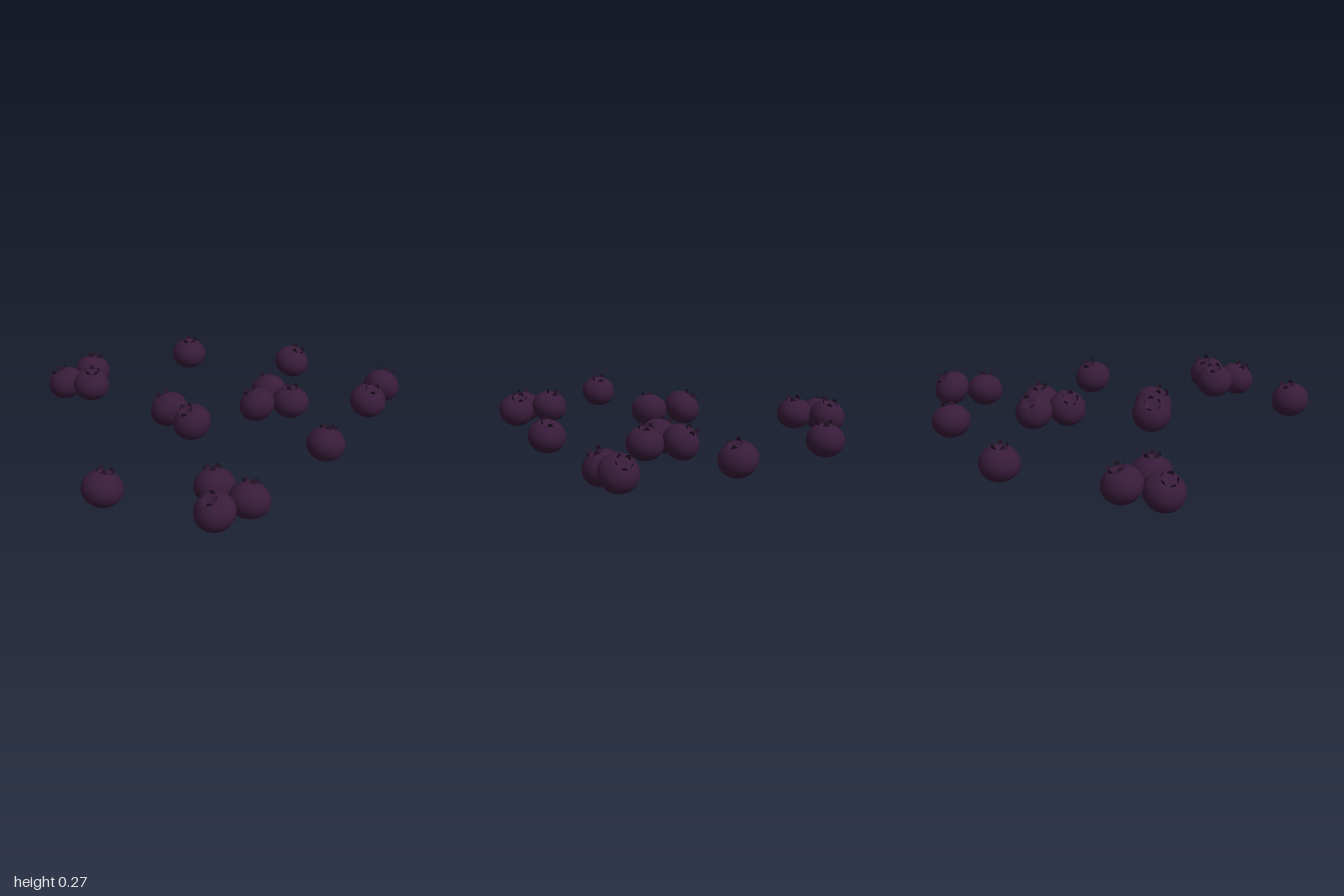
import * as THREE from 'three';

// x, y, z of each berry, then the sideways lean (x, z) of its crown
const BERRIES = [
  [-0.76, 0.09, -0.78, -0.4, -0.3],
  [-0.59, 0.115, -0.85, 0.25, -0.2],
  [-0.64, 0.11, -0.66, 0.05, 0.1],
  [0.01, 0.12, -0.9, 0, 0],
  [0.53, 0.13, -0.55, 0.3, 0.2],
  [0.25, 0.125, -0.21, 0, -0.7],
  [0.13, 0.12, -0.07, -0.45, -0.4],
  [0.31, 0.12, -0.04, 0.05, -0.1],
  [-0.36, 0.17, -0.07, -0.3, -0.55],
  [-0.29, 0.16, 0.1, -0.45, 0.1],
  [0.87, 0.12, -0.07, 0.5, -0.45],
  [0.73, 0.1, 0.05, 0.15, 0.35],
  [0.28, 0.12, 0.49, 0.25, -0.25],
  [-0.87, 0.135, 0.58, 0.25, -0.15],
  [-0.38, 0.13, 0.72, 0, -0.3],
  [-0.44, 0.105, 0.9, -0.4, 0.15],
  [-0.27, 0.12, 0.88, 0.25, -0.3],
];

// Squashed sphere with a shallow dimple at the top
function fleshGeometry() {
  const profile = [];
  for (let i = 0; i <= 26; i++) {
    const a = -Math.PI / 2 + (i / 26) * Math.PI;
    const r = i === 0 || i === 26 ? 0 : 0.098 * Math.cos(a);
    const dimple = a > 0 ? 0.014 * Math.max(0, 1 - (r / 0.036) ** 2) : 0;
    profile.push(new THREE.Vector2(r, 0.086 * Math.sin(a) - dimple));
  }
  return new THREE.LatheGeometry(profile, 32);
}

// Ring whose upper edge rises into five separate sepals
function crownGeometry() {
  const g = new THREE.CylinderGeometry(0.041, 0.036, 1, 50, 3, true);
  const p = g.attributes.position;
  for (let i = 0; i < p.count; i++) {
    const a = Math.atan2(p.getZ(i), p.getX(i));
    const lobe = Math.max(0, Math.cos(a * 5) + 0.35) / 1.35;
    const t = p.getY(i) + 0.5;
    p.setY(i, 0.07 + t * (0.006 + 0.024 * Math.sqrt(lobe)));
  }
  g.computeVertexNormals();
  return g;
}

export function createModel() {
  const model = new THREE.Group();
  model.name = 'berries';
  const skin = new THREE.MeshStandardMaterial({ color: 0x381c3a });
  const sepal = new THREE.MeshStandardMaterial({ color: 0x261428, side: THREE.DoubleSide });
  const fleshGeo = fleshGeometry();
  const crownGeo = crownGeometry();
  const up = new THREE.Vector3(0, 1, 0);

  BERRIES.forEach(([x, y, z, leanX, leanZ], i) => {
    const berry = new THREE.Group();
    berry.name = `berry${i + 1}`;
    const flesh = new THREE.Mesh(fleshGeo, skin);
    flesh.name = 'flesh';
    const crown = new THREE.Mesh(crownGeo, sepal);
    crown.name = 'crown';
    crown.rotation.y = i * 1.3;
    berry.add(flesh, crown);

    // Tip the crown towards its lean
    const rise = Math.sqrt(1 - leanX * leanX - leanZ * leanZ);
    berry.quaternion.setFromUnitVectors(up, new THREE.Vector3(leanX, rise, leanZ));
    berry.position.set(x, y, z);
    model.add(berry);
  });
  return model;
}
